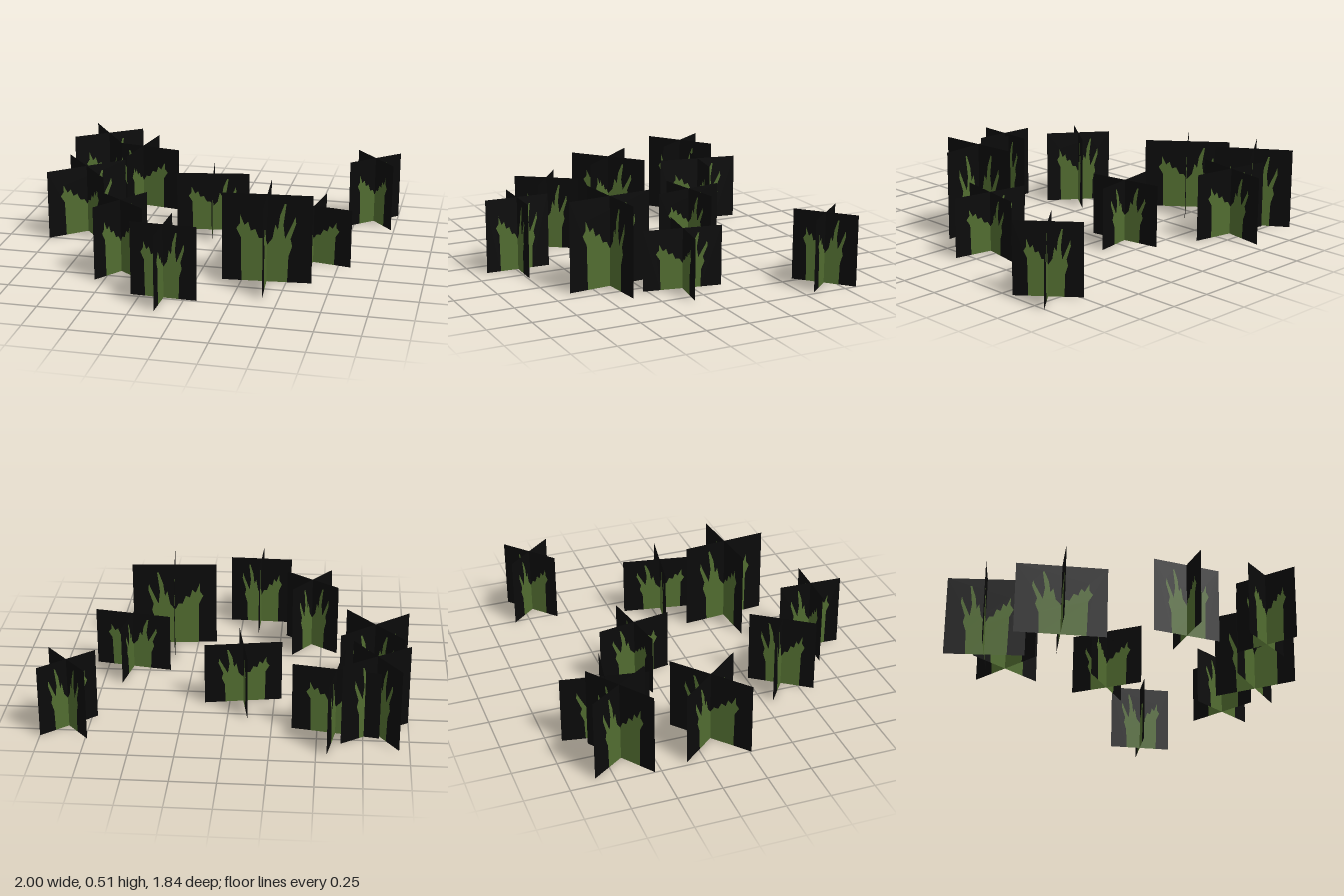
import * as THREE from 'three';

// Grass tuft silhouette on a unit card, from its left foot to its right foot
const TUFT = [
  [0.22, 0], [0.21, 0.5], [0.16, 0.6], [0.2, 0.66], [0.2, 0.76], [0.25, 0.64], [0.29, 0.68],
  [0.32, 0.58], [0.37, 0.6], [0.41, 0.5], [0.46, 0.5], [0.5, 0.42], [0.56, 0.5], [0.59, 0.66],
  [0.62, 0.6], [0.64, 0.76], [0.69, 0.9], [0.71, 0.9], [0.68, 0.66], [0.7, 0.5], [0.79, 0.7],
  [0.81, 0.76], [0.82, 0.68], [0.76, 0.5], [0.78, 0.42], [0.74, 0.3], [0.73, 0],
];

// Each cluster: x, z, card width, height, turn about y in degrees
const CLUSTERS = [
  [-0.815, -0.665, 0.45, 0.468, 35],
  [-0.44, 0.42, 0.385, 0.43, 54],
  [-0.115, 0.735, 0.373, 0.426, -2],
  [0.39, 0.39, 0.502, 0.515, 5],
  [0.6, 0.05, 0.45, 0.345, 80],
  [0.86, -0.7, 0.37, 0.408, 41],
  [-0.81, -0.153, 0.507, 0.415, 40],
  [-0.6, -0.68, 0.485, 0.392, 80],
  [-0.075, -0.34, 0.437, 0.36, 10],
];

function shapeFrom(points) {
  const shape = new THREE.Shape(points.map(([u, v]) => new THREE.Vector2(u - 0.5, v)));
  return new THREE.ShapeGeometry(shape);
}

export function createModel() {
  const green = new THREE.MeshStandardMaterial({ color: 0x516c30, side: THREE.DoubleSide });
  green.name = 'grassGreen';
  const black = new THREE.MeshStandardMaterial({ color: 0x0a0a0a, side: THREE.DoubleSide });
  black.name = 'cardBlack';

  // The backing follows the tuft outline so the two colours meet edge to edge
  const tuftGeometry = shapeFrom(TUFT);
  const backingGeometry = shapeFrom([[0, 0], ...TUFT, [1, 0], [1, 1], [0, 1]]);

  const model = new THREE.Group();
  model.name = 'grassPatch';

  CLUSTERS.forEach(([x, z, width, height, turn], i) => {
    const cluster = new THREE.Group();
    cluster.name = `grassCluster${i + 1}`;
    cluster.position.set(x, 0, z);
    cluster.rotation.y = THREE.MathUtils.degToRad(turn);
    cluster.scale.set(width, height, width);

    // Two upright cards crossing at right angles
    for (const angle of [0, Math.PI / 2]) {
      const card = new THREE.Group();
      card.name = 'grassCard';
      card.rotation.y = angle;
      const backing = new THREE.Mesh(backingGeometry, black);
      backing.name = 'cardBacking';
      const tuft = new THREE.Mesh(tuftGeometry, green);
      tuft.name = 'grassTuft';
      card.add(backing, tuft);
      cluster.add(card);
    }
    model.add(cluster);
  });

  return model;
}
